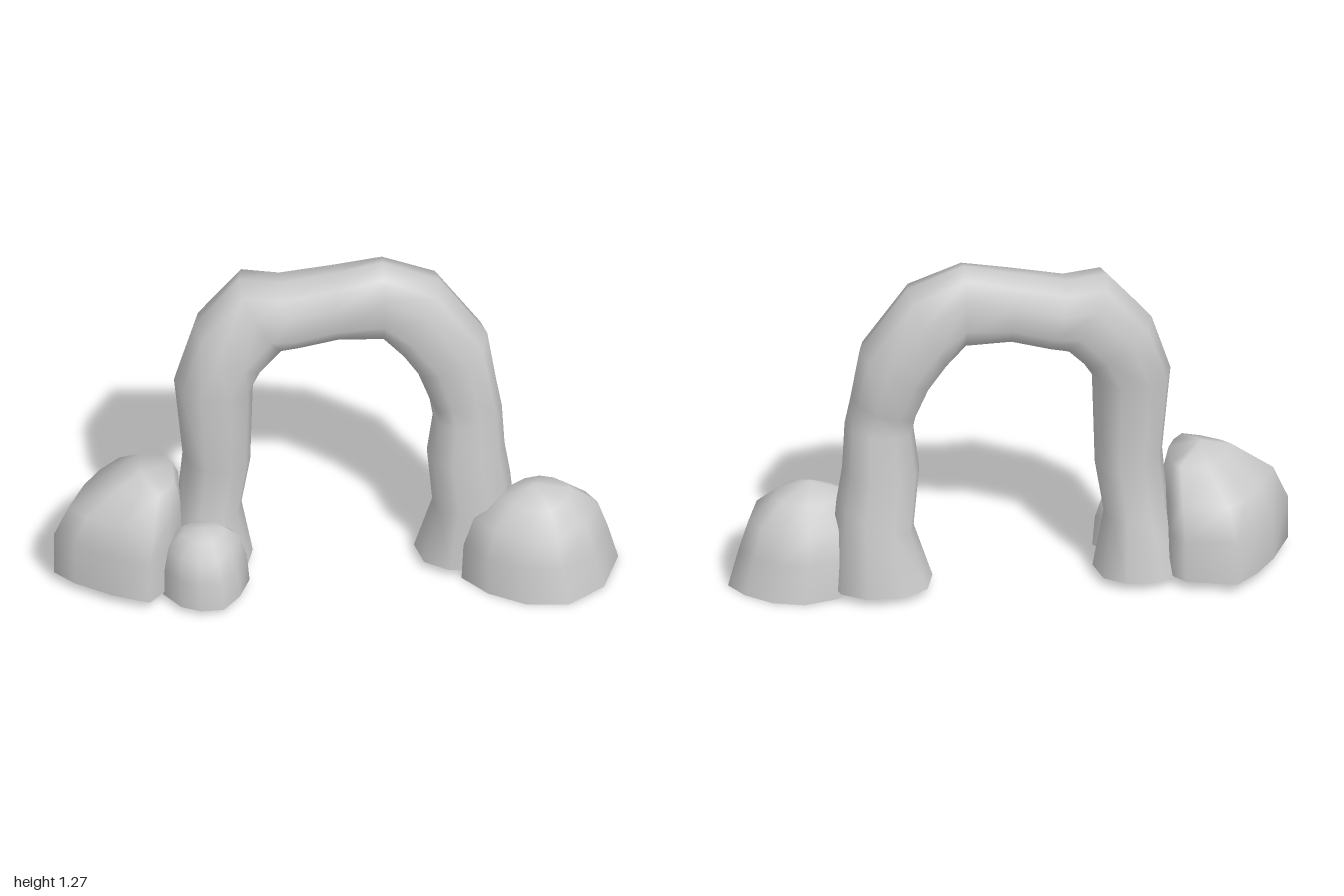
import * as THREE from 'three';

const material = new THREE.MeshStandardMaterial({ color: 0xcccccc, side: THREE.DoubleSide });

// Skin a stack of equal-sized closed rings with smooth normals; an optional apex closes the end.
function skin(name, rings, flip, apex) {
  const n = rings[0].length;
  const points = rings.flat();
  const index = [];
  const tri = (a, b, c) => (flip ? index.push(a, c, b) : index.push(a, b, c));
  for (let i = 0; i < rings.length - 1; i++) {
    for (let j = 0; j < n; j++) {
      const k = (j + 1) % n;
      const a = i * n + j, b = i * n + k, c = a + n, d = b + n;
      tri(a, b, c);
      tri(b, d, c);
    }
  }
  if (apex) {
    const base = (rings.length - 1) * n;
    for (let j = 0; j < n; j++) tri(base + j, base + (j + 1) % n, points.length);
    points.push(new THREE.Vector3(...apex));
  }
  const geometry = new THREE.BufferGeometry().setFromPoints(points);
  geometry.setIndex(index);
  geometry.computeVertexNormals();
  const mesh = new THREE.Mesh(geometry, material);
  mesh.name = name;
  return mesh;
}

// Arch sections: outer x, y, inner x, y, front z, back z
function arch() {
  const sections = [
    [-0.62, 0.03, -0.29, 0.03, 0.10, -0.23],
    [-0.56, 0.25, -0.33, 0.25, 0.07, -0.19],
    [-0.54, 0.48, -0.30, 0.44, 0.06, -0.16],
    [-0.57, 0.80, -0.29, 0.79, 0.09, -0.19],
    [-0.50, 1.02, -0.25, 0.86, 0.08, -0.215],
    [-0.34, 1.21, -0.18, 0.93, 0.06, -0.22],
    [-0.20, 1.19, -0.12, 0.945, 0.06, -0.215],
    [0.00, 1.23, 0.01, 0.975, 0.055, -0.195],
    [0.17, 1.27, 0.17, 0.96, 0.04, -0.18],
    [0.37, 1.19, 0.23, 0.89, 0.06, -0.20],
    [0.54, 0.95, 0.285, 0.81, 0.07, -0.20],
    [0.57, 0.76, 0.335, 0.68, 0.065, -0.165],
    [0.59, 0.65, 0.345, 0.62, 0.07, -0.15],
    [0.60, 0.48, 0.325, 0.46, 0.08, -0.18],
    [0.62, 0.35, 0.345, 0.23, 0.09, -0.19],
    [0.65, 0.03, 0.28, 0.03, 0.10, -0.23],
  ];
  const sides = 10;
  const soft = (v) => Math.sign(v) * Math.abs(v) ** 0.85; // slightly squared section
  const rings = sections.map(([ox, oy, ix, iy, zf, zb]) =>
    Array.from({ length: sides }, (_, j) => {
      const a = (j / sides) * Math.PI * 2;
      const u = soft(Math.cos(a)) / 2, w = soft(Math.sin(a)) / 2;
      return new THREE.Vector3(
        (ox + ix) / 2 + (ox - ix) * u,
        (oy + iy) / 2 + (oy - iy) * u,
        (zf + zb) / 2 + (zf - zb) * w,
      );
    }));
  return skin('stoneArch', rings, false);
}

// Boulder: ground outline (x, z) repeated in layers of [y, scale, shift x, shift z]
function boulder(name, [cx, cz], outline, layers, apex) {
  const rings = layers.map(([y, s, dx, dz]) => outline.map(([x, z]) =>
    new THREE.Vector3(cx + dx + (x - cx) * s, y, cz + dz + (z - cz) * s)));
  return skin(name, rings, true, apex);
}

export function createModel() {
  const model = new THREE.Group();
  model.name = 'rockArch';
  model.add(arch());

  model.add(boulder('largeBoulderRight', [-0.77, -0.02], [
    [-1, 0.04], [-0.93, -0.11], [-0.86, -0.21], [-0.78, -0.285], [-0.6, -0.24], [-0.55, -0.18],
    [-0.55, 0.05], [-0.6, 0.16], [-0.67, 0.24], [-0.8, 0.19], [-0.93, 0.11],
  ], [
    [0.035, 1, 0, 0], [0.2, 1, 0, 0], [0.32, 0.88, 0.025, 0.01], [0.425, 0.5, 0.085, 0.03],
  ], [-0.69, 0.455, 0.03]));

  model.add(boulder('smallBoulder', [-0.465, 0.14], [
    [-0.62, 0.17], [-0.6, 0.06], [-0.5, 0], [-0.38, 0.01], [-0.31, 0.1],
    [-0.35, 0.2], [-0.41, 0.275], [-0.49, 0.28], [-0.56, 0.25],
  ], [
    [0.02, 1, 0, 0], [0.13, 0.97, -0.005, 0], [0.21, 0.85, -0.01, -0.01], [0.255, 0.5, -0.01, -0.015],
  ], [-0.475, 0.272, 0.125]));

  model.add(boulder('largeBoulderLeft', [0.72, 0.05], [
    [1, 0], [0.94, 0.18], [0.81, 0.28], [0.66, 0.27], [0.53, 0.2], [0.44, 0.1],
    [0.5, -0.05], [0.63, -0.15], [0.75, -0.18], [0.86, -0.15], [0.95, -0.08],
  ], [
    [0, 1, 0, 0], [0.14, 0.92, -0.015, 0], [0.25, 0.79, -0.015, 0], [0.325, 0.45, -0.01, 0],
  ], [0.7, 0.372, 0.06]));

  return model;
}
